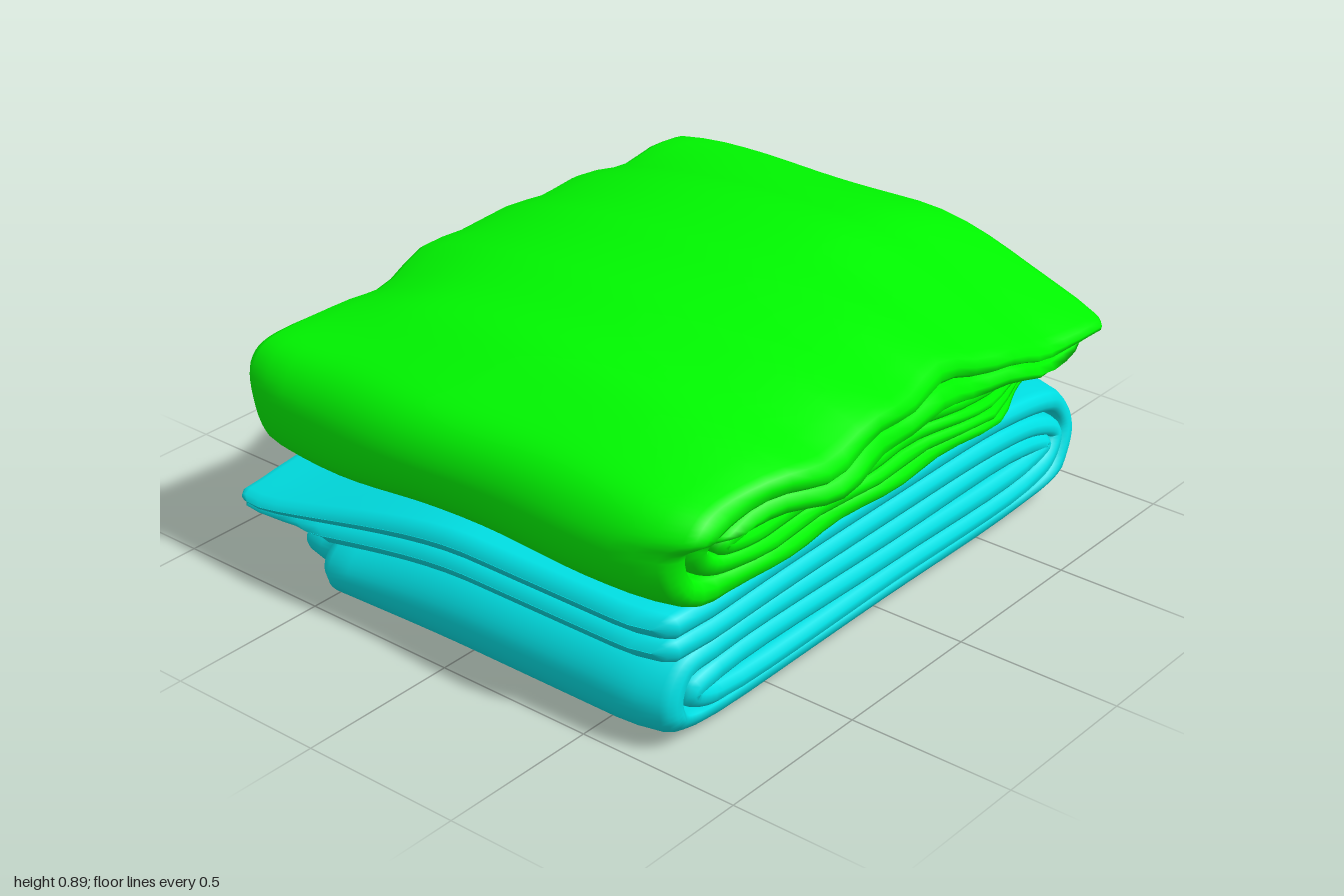
import * as THREE from 'three';

const smooth = THREE.MathUtils.smoothstep;
const bump = (v, centre, width) => Math.exp(-(((v - centre) / width) ** 2));

// Closed outline of the cloth: [x in half widths, edge bulge, offset in half thicknesses]
function clothOutline() {
  const loop = [], cols = 20, arc = 5;
  for (const side of [1, -1]) {
    for (let i = 0; i < arc; i++) {
      const a = -Math.PI / 2 + Math.PI * i / arc;
      loop.push([side, side * Math.cos(a), side * Math.sin(a)]);
    }
    for (let i = 0; i < cols; i++) loop.push([side * (1 - 2 * i / cols), 0, side]);
  }
  return loop;
}

// Sweeps the thick cloth along a folded path of [z, y, halfThickness], then bends it with a rule
function foldedCloth(name, color, path, halfWidth, bend) {
  const curve = new THREE.CatmullRomCurve3(
    path.map(([z, y, h]) => new THREE.Vector3(h, y, z)), false, 'centripetal');
  const pts = curve.getPoints((path.length - 1) * 6);
  const last = pts.length - 1;
  const rings = pts.map((p, i) => {
    const a = pts[Math.max(0, i - 1)], b = pts[Math.min(last, i + 1)];
    const l = Math.hypot(b.y - a.y, b.z - a.z);
    return { z: p.z, y: p.y, h: p.x, ty: (b.y - a.y) / l, tz: (b.z - a.z) / l, k: 1 };
  });
  // Rounded hems at both ends
  const hem = (r, dir, d, k) => ({
    ...r, z: r.z + dir * r.tz * r.h * d, y: r.y + dir * r.ty * r.h * d, k });
  const first = rings[0], end = rings[last];
  rings.unshift(hem(first, -1, 1, 0.02), hem(first, -1, 0.7, 0.7));
  rings.push(hem(end, 1, 0.7, 0.7), hem(end, 1, 1, 0.02));

  const loop = clothOutline(), n = loop.length, pos = [], index = [];
  rings.forEach((r, i) => {
    for (const [u, bulge, v] of loop) {
      const o = v * r.h * r.k;
      const x = u * (halfWidth - r.h - (1 - r.k) * 0.03) + bulge * r.h * r.k;
      const y = r.y + o * r.tz, z = r.z - o * r.ty;
      // Corners rounded in plan
      const corner = smooth(Math.abs(x), 0.62, 0.79) * smooth(Math.abs(z), 0.75, 0.97);
      pos.push(...bend(x * (1 - 0.02 * corner), y, z * (1 - 0.03 * corner)));
    }
    if (i === rings.length - 1) return;
    for (let j = 0; j < n; j++) {
      const a = i * n + j, b = i * n + (j + 1) % n;
      index.push(a, b, b + n, a, b + n, a + n);
    }
  });
  const geo = new THREE.BufferGeometry();
  geo.setAttribute('position', new THREE.Float32BufferAttribute(pos, 3));
  geo.setIndex(index);
  geo.computeVertexNormals();
  const mesh = new THREE.Mesh(geo,
    new THREE.MeshStandardMaterial({ color, side: THREE.DoubleSide }));
  mesh.name = name;
  return mesh;
}

// Gives path points without their own half thickness a shared one
const withThickness = (h, list) => list.map(([z, y, t]) => [z, y, t ?? h]);

export function createModel() {
  const group = new THREE.Group();
  group.name = 'foldedTowels';

  // Lower towel: doubled cloth, rolled under, with the top flap sagging at one front corner
  const lowerPath = withThickness(0.036, [
    [0.945, 0.372], [0.5, 0.388], [0, 0.392], [-0.5, 0.388], [-0.8, 0.355],
    [-0.89, 0.31, 0.04], [-0.93, 0.22, 0.04], [-0.865, 0.105, 0.04], [-0.68, 0.042], [0, 0.038],
    [0.8, 0.038], [0.92, 0.075, 0.038], [0.943, 0.15, 0.04], [0.9, 0.225, 0.038], [0.75, 0.252],
    [0, 0.252], [-0.65, 0.247], [-0.77, 0.213], [-0.65, 0.182], [0, 0.182],
    [0.76, 0.18], [0.865, 0.145], [0.76, 0.11], [0, 0.11], [-0.65, 0.113],
    [-0.8, 0.155], [-0.85, 0.225, 0.038], [-0.74, 0.288], [-0.5, 0.316], [0, 0.322],
    [0.5, 0.318], [0.945, 0.303]]);
  group.add(foldedCloth('lowerTowel', 0x00e0e4, lowerPath, 0.785, (x, y, z) => {
    const flap = smooth(y, 0.26, 0.33);
    const sag = smooth(-x, -0.1, 0.9) * smooth(z, -0.5, 0.9);
    const flare = flap * smooth(-x, 0, 0.8) * (0.08 + 0.05 * bump(z, -0.33, 0.3));
    // The roll is tucked in below the sagging corner
    const tuck = (1 - flap) * smooth(-x, 0.46, 0.62) * smooth(z, 0.5, 0.95);
    const bevel = 1 - 0.06 * (1 - smooth(y, 0, 0.1));
    // Softer top corner at the other end of the diagonal
    const soft = smooth(x, 0.45, 0.8) * smooth(-z, 0.45, 0.9) * smooth(y, 0.15, 0.36);
    return [
      x * bevel - 0.01 - flare * (1 - 0.7 * smooth(-z, 0.5, 0.95)) + 0.08 * tuck - 0.02 * soft,
      y * (1 - 0.49 * sag) - 0.03 * soft,
      z - 0.1 * tuck];
  }));

  // Upper towel: same folding, turned round, puffier, with a hollow under the flap
  const upperPath = withThickness(0.038, [
    [0.935, 0.71], [0.5, 0.745], [0, 0.765], [-0.5, 0.742], [-0.83, 0.705],
    [-0.92, 0.66, 0.042], [-0.955, 0.58, 0.042], [-0.9, 0.46, 0.042], [-0.5, 0.435, 0.034],
    [0, 0.435, 0.03], [0.55, 0.43, 0.026], [0.88, 0.43, 0.025], [0.95, 0.485, 0.028],
    [0.88, 0.545, 0.025], [0.5, 0.557, 0.025], [0, 0.58, 0.028], [-0.6, 0.59, 0.028],
    [-0.78, 0.565, 0.03], [-0.6, 0.535, 0.027], [0, 0.53, 0.024], [0.5, 0.51, 0.02],
    [0.77, 0.507, 0.02], [0.86, 0.487, 0.02], [0.77, 0.467, 0.02], [0, 0.48, 0.024],
    [-0.65, 0.49, 0.028], [-0.83, 0.52, 0.034], [-0.87, 0.58, 0.036], [-0.77, 0.642],
    [-0.45, 0.674], [0, 0.685], [0.5, 0.665], [0.935, 0.625]]);
  const upper = foldedCloth('upperTowel', 0x00f800, upperPath, 0.79, (x, y, z) => {
    const flap = smooth(y, 0.59, 0.66);
    const edge = smooth(Math.abs(x), 0.5, 0.78);
    const flare = flap * smooth(-x, 0.1, 0.8) * (0.055 + 0.065 * bump(z, -0.4, 0.3));
    const ragged = edge * 0.01 * Math.sin(z * 13 + y * 20);
    // Dent in the long side opposite the overhang
    const dent = 0.08 * smooth(y, 0.64, 0.72) * smooth(x, 0.35, 0.78) * bump(z, -0.58, 0.2);
    const crown = flap * smooth(1 - Math.abs(z), -0.1, 0.55)
      * (0.072 - 0.14 * x * x - 0.08 * x ** 4 + 0.01 * Math.sin(z * 17));
    const press = 1 - 0.5 * smooth(-x, 0.15, 0.9) * smooth(z, 0, 0.95);
    const droop = 0.03 * smooth(x, 0.1, 0.55) * smooth(-z, -0.2, 0.8) * (1 - smooth(y, 0.42, 0.6));
    // The roll is tucked in below the drooping corner
    const tuck = (1 - flap) * smooth(-x, 0.4, 0.75) * smooth(z, 0.4, 0.95);
    return [
      x - flare + ragged * Math.sign(x) - dent + 0.13 * tuck,
      0.4 + (y - 0.4) * press + crown - droop,
      z + 0.01 * Math.sin(x * 8 + y * 5) * smooth(Math.abs(z), 0.6, 0.95) - 0.05 * tuck];
  });
  upper.rotation.y = Math.PI;
  group.add(upper);

  return group;
}
